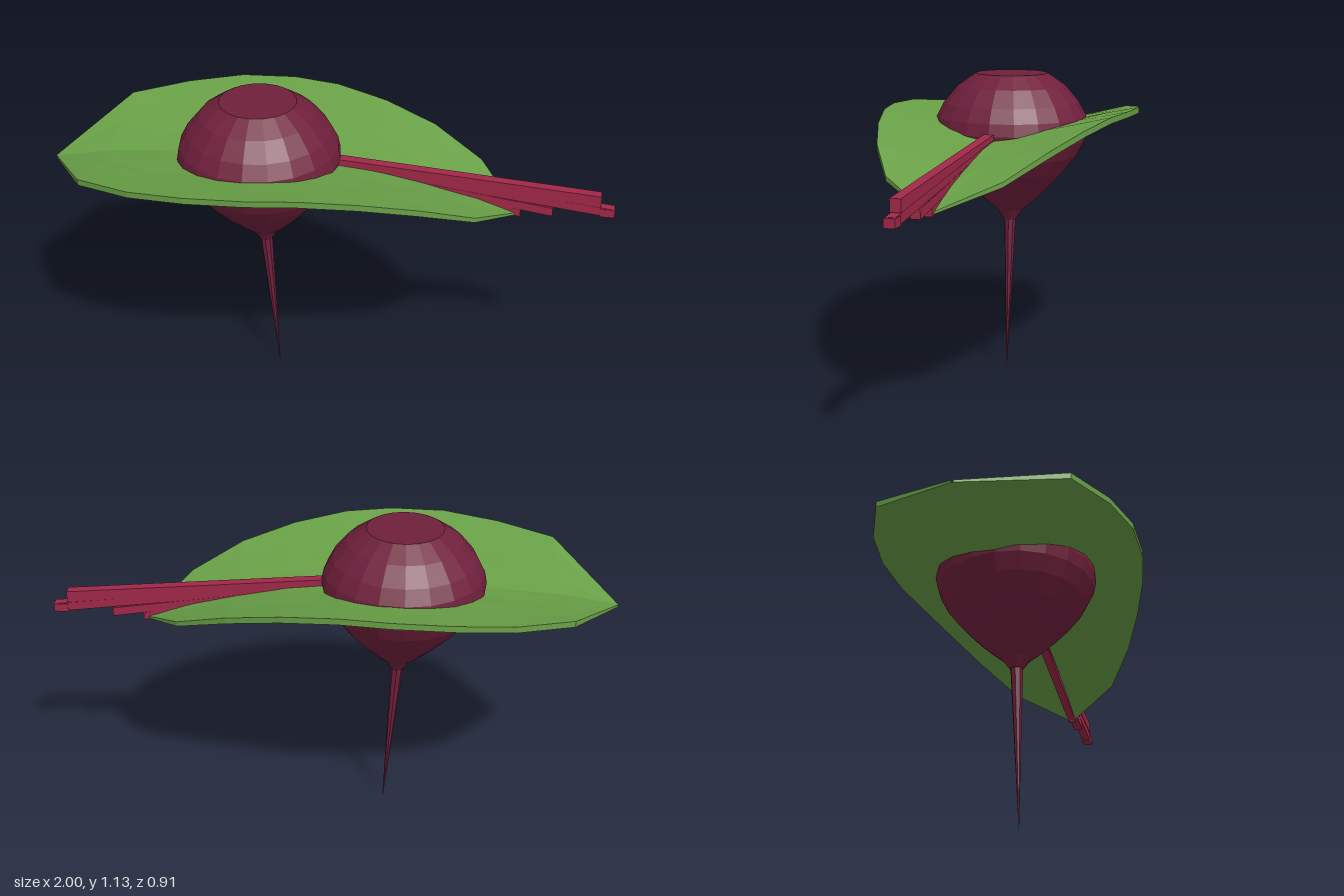
import * as THREE from 'three';

const mat = (name, color) => {
  const m = new THREE.MeshStandardMaterial({ color, flatShading: true });
  m.name = name;
  return m;
};

// Closed surface from rings of points (each ring an array of Vector3)
function loft(rings) {
  const n = rings[0].length, pos = [], idx = [];
  rings.forEach(r => r.forEach(p => pos.push(p.x, p.y, p.z)));
  for (let i = 0; i < rings.length - 1; i++)
    for (let j = 0; j < n; j++) {
      const a = i * n + j, b = i * n + (j + 1) % n;
      idx.push(a, a + n, b, b, a + n, b + n);
    }
  const g = new THREE.BufferGeometry();
  g.setAttribute('position', new THREE.Float32BufferAttribute(pos, 3));
  g.setIndex(idx);
  g.computeVertexNormals();
  return g;
}

// Leaf stations: x, half width, midrib height, edge height
const STATIONS = [
  [-1, 0.003, 0.845, 0.845], [-0.8, 0.328, 0.875, 0.945], [-0.6, 0.415, 0.893, 0.967],
  [-0.4, 0.457, 0.905, 0.988], [-0.2, 0.457, 0.91, 0.995], [-0.03, 0.428, 0.903, 0.992],
  [0.16, 0.375, 0.884, 0.966], [0.35, 0.303, 0.853, 0.92], [0.53, 0.2, 0.81, 0.848],
  [0.67, 0.003, 0.767, 0.767],
];

function leafGeometry() {
  const cols = 8;
  const rings = STATIONS.map(([x, w, mid, edge], i) => {
    const point = (j, side) => {
      const t = j / cols * 2 - 1, a = Math.abs(t);
      const ripple = w * 0.01 * Math.sin(i * 2.3 + j * 1.9) * (1 - a);
      const half = 0.004 + 0.007 * Math.min(1, w / 0.3);
      return new THREE.Vector3(x, mid + (edge - mid) * Math.pow(a, 1.2) + ripple + side * half, t * w);
    };
    const ring = [];
    for (let j = 0; j <= cols; j++) ring.push(point(j, -1));
    for (let j = cols; j >= 0; j--) ring.push(point(j, 1));
    return ring;
  });
  return loft(rings);
}

// Tapered square stalk between two points in the x-y plane
function stalkGeometry([x0, y0, h0], [x1, y1, h1], d) {
  const ring = (x, y, h, w) => [[-1, -1], [-1, 1], [1, 1], [1, -1]]
    .map(([s, t]) => new THREE.Vector3(x, y + s * h, t * w));
  const tip = new THREE.Vector3(x1, y1, 0);
  return loft([ring(x0, y0, h0, d), ring(x1, y1, h1, d), [tip, tip, tip, tip]]);
}

export function createModel() {
  const model = new THREE.Group();
  model.name = 'beet';
  const skin = mat('beet skin', 0x70203c);
  const stalkRed = mat('stalk red', 0xa02848);
  const leafGreen = mat('leaf green', 0x69a047);

  const add = (name, geo, material) => {
    const m = new THREE.Mesh(geo, material);
    m.name = name;
    model.add(m);
    return m;
  };

  // Bulb with a flat cut top
  const profile = [
    [0, 0.57], [0.023, 0.575], [0.048, 0.612], [0.098, 0.655], [0.15, 0.705], [0.205, 0.765],
    [0.251, 0.825], [0.28, 0.88], [0.29, 0.925], [0.281, 0.97], [0.254, 1.022],
    [0.203, 1.083], [0.135, 1.13], [0, 1.13],
  ].map(([r, y]) => new THREE.Vector2(r, y));
  const bulb = new THREE.LatheGeometry(profile, 20);
  // lower end leans slightly toward the root
  const p = bulb.attributes.position;
  for (let i = 0; i < p.count; i++)
    p.setX(i, p.getX(i) - 0.245 + 0.015 * Math.max(0, (0.9 - p.getY(i)) / 0.33));
  add('bulb', bulb, skin);

  // Tap root, leaning to its tip
  const root = new THREE.CylinderGeometry(0.023, 0.001, 0.585, 8, 4);
  root.translate(0, 0.2925, 0);
  const q = root.attributes.position;
  for (let i = 0; i < q.count; i++) q.setX(i, q.getX(i) - 0.19 - 0.04 * q.getY(i) / 0.585);
  add('tapRoot', root, skin);

  add('leaf', leafGeometry(), leafGreen);

  // Bundle of stalks fanning out from the bulb
  const stalks = [
    [[0, 0.928, 0.009], [0.95, 0.849, 0.021], 0.018],
    [[0, 0.912, 0.01], [0.99, 0.806, 0.016], 0.016],
    [[0, 0.916, 0.008], [0.94, 0.828, 0.016], 0.014],
    [[0, 0.902, 0.01], [0.79, 0.792, 0.016], 0.017],
    [[0, 0.897, 0.01], [0.68, 0.776, 0.014], 0.015],
  ];
  stalks.forEach(s => add('stalk', stalkGeometry(...s), stalkRed));
  // Blunt knob on the longest stalk
  const knob = add('stalkEnd', new THREE.BoxGeometry(0.05, 0.03, 0.036), stalkRed);
  knob.position.set(0.975, 0.806, 0);

  return model;
}
